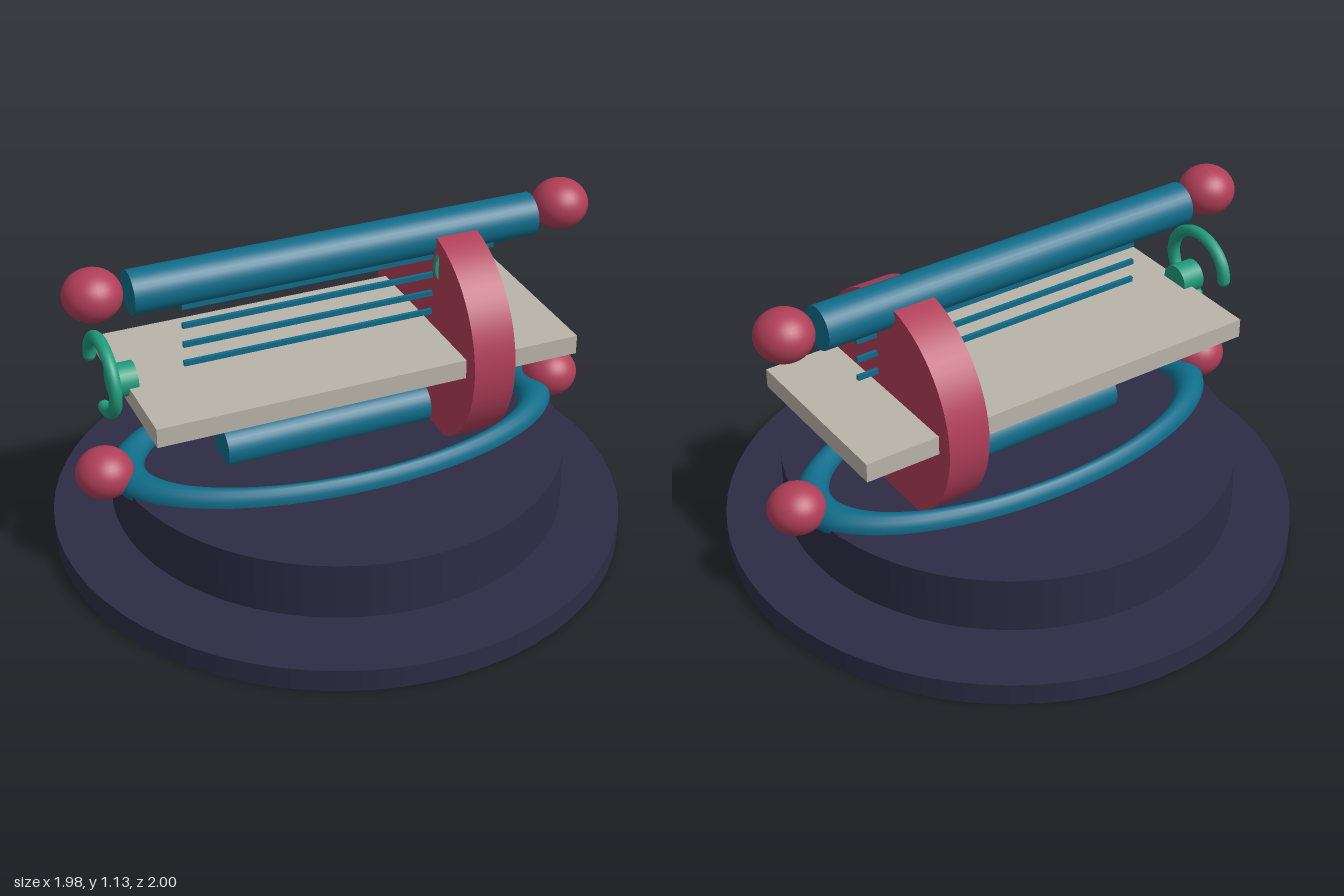
import * as THREE from 'three';

export function createModel() {
  const model = new THREE.Group();
  const mat = (name, color) => {
    const m = new THREE.MeshStandardMaterial({ color });
    m.name = name;
    return m;
  };
  const navy = mat('navy', 0x2d2c45);
  const teal = mat('teal', 0x0f6d8a);
  const red = mat('raspberry', 0xb03e58);
  const stone = mat('stone', 0xbab4aa);
  const green = mat('green', 0x1f9c7b);

  const add = (name, geometry, material, x, y, z) => {
    const mesh = new THREE.Mesh(geometry, material);
    mesh.name = name;
    mesh.position.set(x, y, z);
    model.add(mesh);
    return mesh;
  };
  // Cylinder lying along x
  const rod = (radius, length, sides = 32) =>
    new THREE.CylinderGeometry(radius, radius, length, sides).rotateZ(Math.PI / 2);

  // Round base and the raised plinth floating just above it
  add('baseDisc', new THREE.CylinderGeometry(1, 1, 0.08, 64), navy, 0, 0.04, 0).scale.x = 0.99;
  add('plinth', new THREE.CylinderGeometry(0.793, 0.793, 0.202, 64), navy, 0, 0.229, 0).scale.x = 0.99;

  // Oval ring around the plinth top
  const oval = new THREE.TorusGeometry(0.6, 0.05, 16, 96).rotateX(Math.PI / 2);
  add('ovalRing', oval, teal, 0, 0.334, 0).scale.set(1.255, 1, 0.593);

  // Upper and lower bars
  add('upperBar', rod(0.075, 1.435), teal, 0, 1.028, 0);
  add('lowerBar', rod(0.073, 0.84), teal, 0, 0.372, 0);

  // Slightly flattened balls at both ends, top and bottom
  for (const side of [-1, 1]) {
    for (const y of [0.375, 1.045]) {
      add('endBall', new THREE.SphereGeometry(0.098, 32, 20), red, side * 0.835, y, 0).scale.y = 0.885;
    }
  }

  // Flat plate, with thin wires above it
  add('plate', new THREE.BoxGeometry(1.495, 0.068, 0.645), stone, 0, 0.675, 0);
  for (let i = 0; i < 4; i++) {
    add('wire', new THREE.BoxGeometry(1.115, 0.018, 0.013), teal, 0, 0.756 + i * 0.07, 0.047);
  }

  // Upright wheel around the plate, with a tab and a thin inset disc
  add('wheel', rod(0.385, 0.15, 64), red, 0.407, 0.668, 0);
  add('wheelTab', new THREE.BoxGeometry(0.125, 0.125, 0.027), red, 0.53, 0.517, 0.057);
  const inset = new THREE.CylinderGeometry(0.0875, 0.0875, 0.017, 32).rotateX(Math.PI / 2);
  add('insetDisc', inset, green, 0.407, 0.943, 0.087);

  // Crank hub and its open three-quarter ring (gap at the lower back)
  add('crankHub', rod(0.057, 0.085, 24), green, -0.757, 0.716, 0);
  const crank = new THREE.TorusGeometry(0.13, 0.022, 12, 48, Math.PI * 1.5)
    .rotateZ(-Math.PI / 2)
    .rotateY(-Math.PI / 2);
  add('crankRing', crank, green, -0.82, 0.75, 0).scale.set(1, 0.93, 1.08);
  for (const [y, z] of [[-0.121, 0], [0, -0.14]]) {
    add('crankRingEnd', new THREE.SphereGeometry(0.022, 12, 8), green, -0.82, 0.75 + y, z);
  }

  return model;
}
